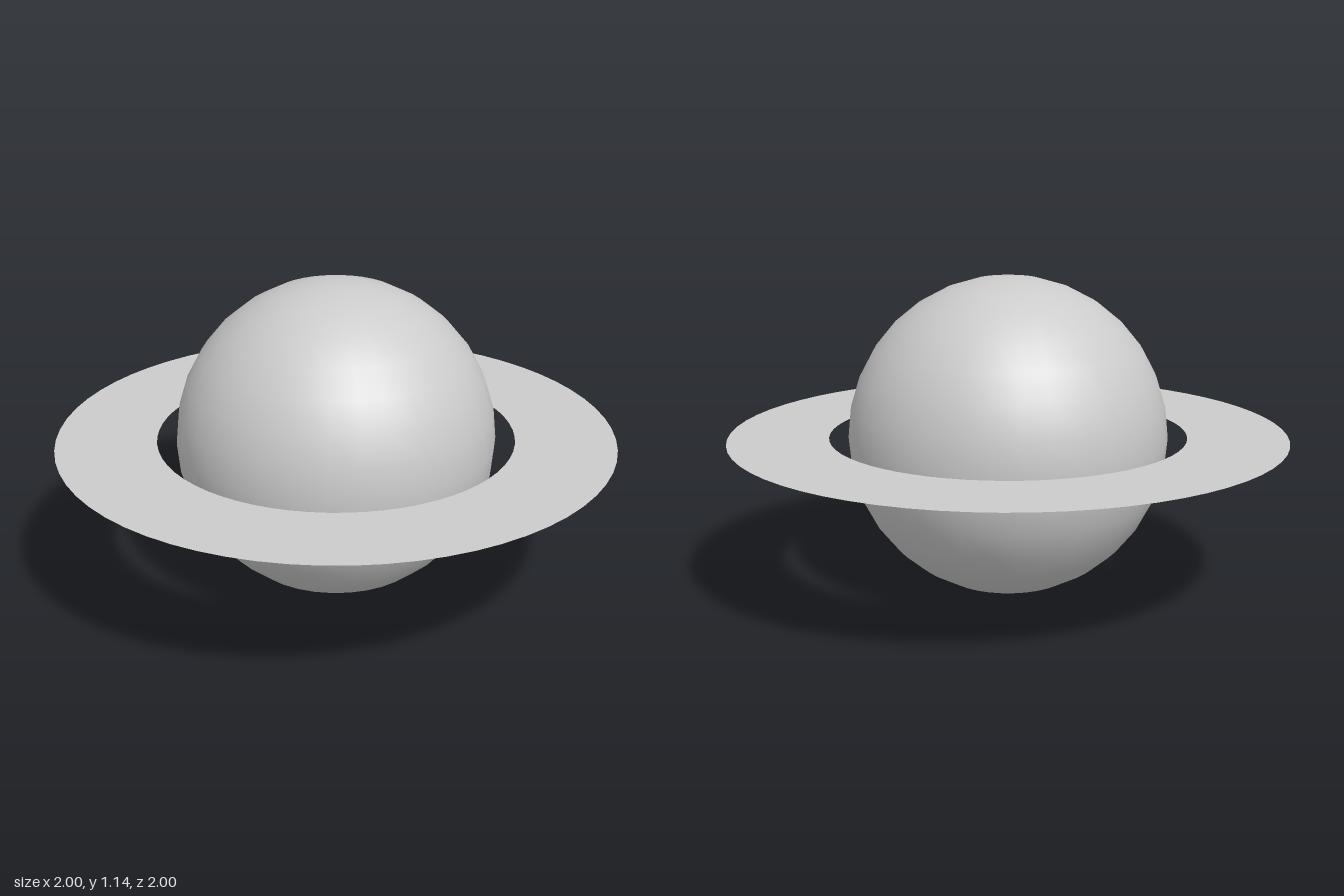
import * as THREE from 'three';

const RADIUS = 0.571;
const RING_INNER = 0.64;
const RING_OUTER = 1;

export function createModel() {
  const model = new THREE.Group();
  model.name = 'ringedPlanet';

  // Smooth globe resting on the ground
  const planet = new THREE.Mesh(
    new THREE.SphereGeometry(RADIUS, 32, 16),
    new THREE.MeshStandardMaterial({ color: 0xcccccc })
  );
  planet.name = 'planet';
  planet.position.y = RADIUS;

  // Paper-thin flat ring around the equator
  const ring = new THREE.Mesh(
    new THREE.RingGeometry(RING_INNER, RING_OUTER, 64).rotateX(-Math.PI / 2),
    new THREE.MeshStandardMaterial({ color: 0xcccccc, side: THREE.DoubleSide })
  );
  ring.name = 'ring';
  ring.position.y = RADIUS;

  model.add(planet, ring);
  return model;
}
